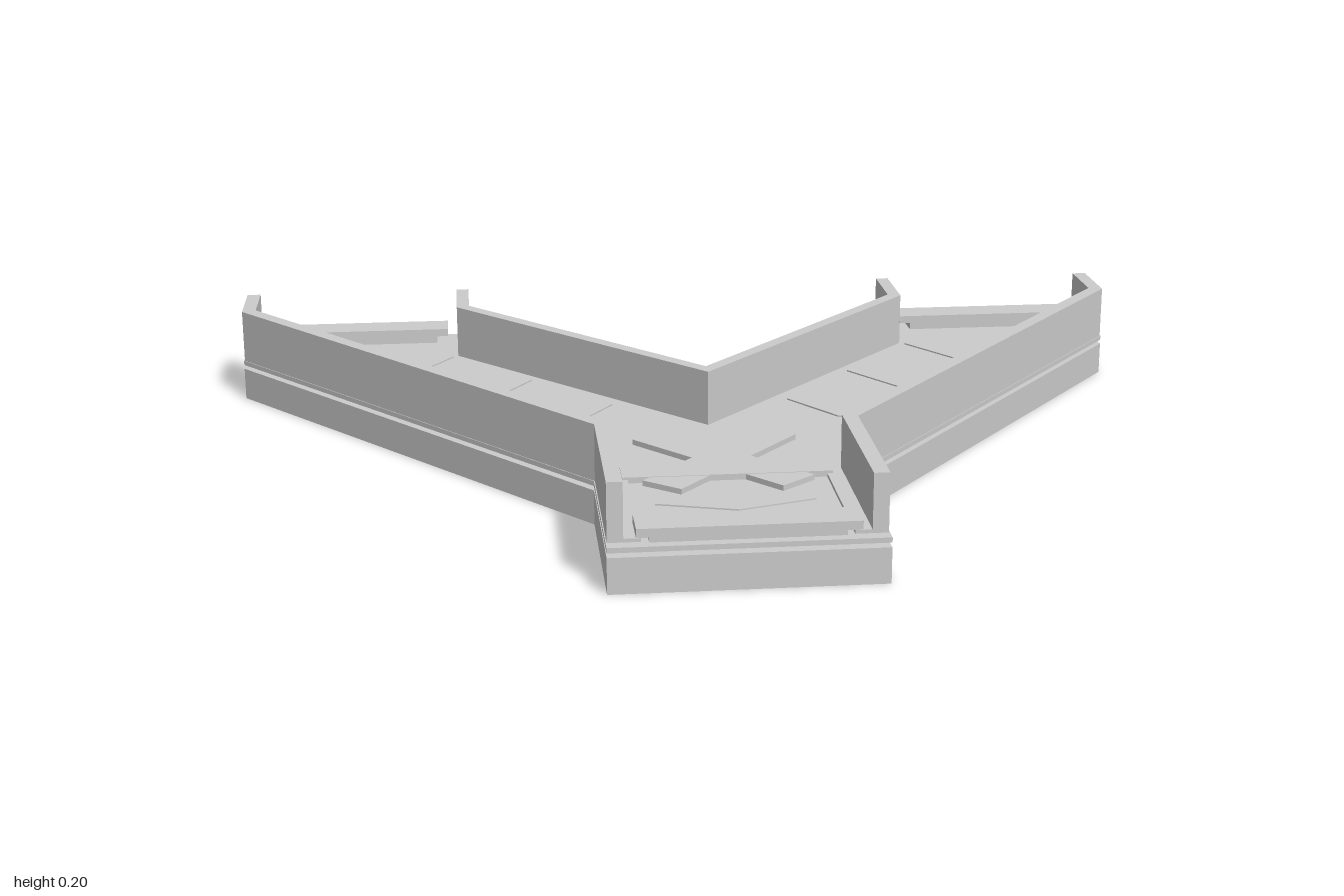
import * as THREE from 'three';

const material = new THREE.MeshStandardMaterial({ color: 0xcccccc, flatShading: true });

// Plan outline given as [x, z], raised from y0 to y1
function slab(name, points, y0, y1) {
  const shape = new THREE.Shape(points.map(([x, z]) => new THREE.Vector2(x, -z)));
  const geometry = new THREE.ExtrudeGeometry(shape, { depth: y1 - y0, bevelEnabled: false });
  geometry.rotateX(-Math.PI / 2).translate(0, y0, 0);
  const mesh = new THREE.Mesh(geometry, material);
  mesh.name = name;
  return mesh;
}

function box(name, x, z, y0, y1, width, depth, turn = 0) {
  const mesh = new THREE.Mesh(new THREE.BoxGeometry(width, y1 - y0, depth), material);
  mesh.name = name;
  mesh.position.set(x, (y0 + y1) / 2, z);
  mesh.rotation.y = turn;
  return mesh;
}

// Shift a plan polyline sideways with mitred corners
function offset(path, d) {
  const pts = path.map(([x, z]) => new THREE.Vector2(x, z));
  const normal = (a, b) => {
    const v = b.clone().sub(a).normalize();
    return new THREE.Vector2(-v.y, v.x);
  };
  return pts.map((p, i) => {
    const n1 = normal(pts[Math.max(i - 1, 0)], pts[Math.max(i, 1)]);
    const last = pts.length - 1;
    const n2 = normal(pts[Math.min(i, last - 1)], pts[Math.min(i + 1, last)]);
    const k = d / (1 + n1.dot(n2));
    return [p.x + (n1.x + n2.x) * k, p.y + (n1.y + n2.y) * k];
  });
}

// Band between two offsets of a path
const band = (name, path, d0, d1, y0, y1) =>
  slab(name, [...offset(path, d0), ...offset(path, d1).reverse()], y0, y1);

export function createModel() {
  const model = new THREE.Group();
  model.name = 'forkedTrack';
  const mirror = (path) => path.map(([x, z]) => [-x, z]);

  // Base and the thin deck floating above it
  const half = [[0.258, 0.738], [0.258, 0.37], [1, -0.557], [1, -0.738], [0.485, -0.738], [0.485, -0.557]];
  const outline = [...half, [0, -0.005], ...mirror(half).reverse()];
  model.add(slab('base', outline, 0, 0.07));
  model.add(slab('deck', outline, 0.079, 0.089));

  // Outer walls and curbs, one per side
  const outer = [[0.256, 0.712], [0.256, 0.37], [0.998, -0.557], [0.998, -0.712]];
  for (const s of [1, -1]) {
    const path = s > 0 ? outer : mirror(outer);
    model.add(band('outerWall', path, 0, -0.03 * s, 0.089, 0.204));
    model.add(band('curb', path, -0.03 * s, -0.062 * s, 0.089, 0.096));
  }

  // Wall in the fork
  const fork = [[0.486, -0.712], [0.486, -0.557], [0, -0.005], [-0.486, -0.557], [-0.486, -0.712]];
  model.add(band('forkWall', fork, 0, -0.028, 0.089, 0.204));

  // Lipped plates at the three ends, with spacers under the deck
  for (const [x, z, s] of [[0, 0.697, 1], [0.742, -0.7, -1], [-0.742, -0.7, -1]]) {
    model.add(box('endPlate', x, z, 0.105, 0.122, 0.41, 0.076));
    model.add(box('endPlateFoot', x, z - 0.008 * s, 0.089, 0.105, 0.36, 0.056));
    model.add(box('spacer', x, s > 0 ? 0.295 : -0.64, 0.07, 0.079, 0.36, s > 0 ? 0.29 : 0.14));
  }

  // Crossing marker at the junction
  const cross = new THREE.Group();
  cross.name = 'crossMarker';
  for (const s of [1, -1]) cross.add(box('crossArm', 0, 0.28, 0.089, 0.1, 0.09, 0.41, s * 0.7));
  cross.add(box('crossBar', 0, 0.355, 0.089, 0.101, 0.41, 0.072));
  model.add(cross);

  // Shallow chevron ribs across the channels
  function chevron(x, z, turn) {
    const group = new THREE.Group();
    group.name = 'chevron';
    for (const s of [1, -1]) {
      group.add(box('chevronRib', s * 0.075, -0.02, 0.089, 0.092, 0.16, 0.009, s * 0.3));
    }
    group.position.set(x, 0, z);
    group.rotation.y = turn;
    model.add(group);
  }
  chevron(0, 0.56, 0);
  for (const s of [1, -1]) {
    for (const t of [0.25, 0.52, 0.8]) chevron(s * (0.13 + 0.61 * t), 0.19 - 0.745 * t, -s * 0.68);
  }
  return model;
}
